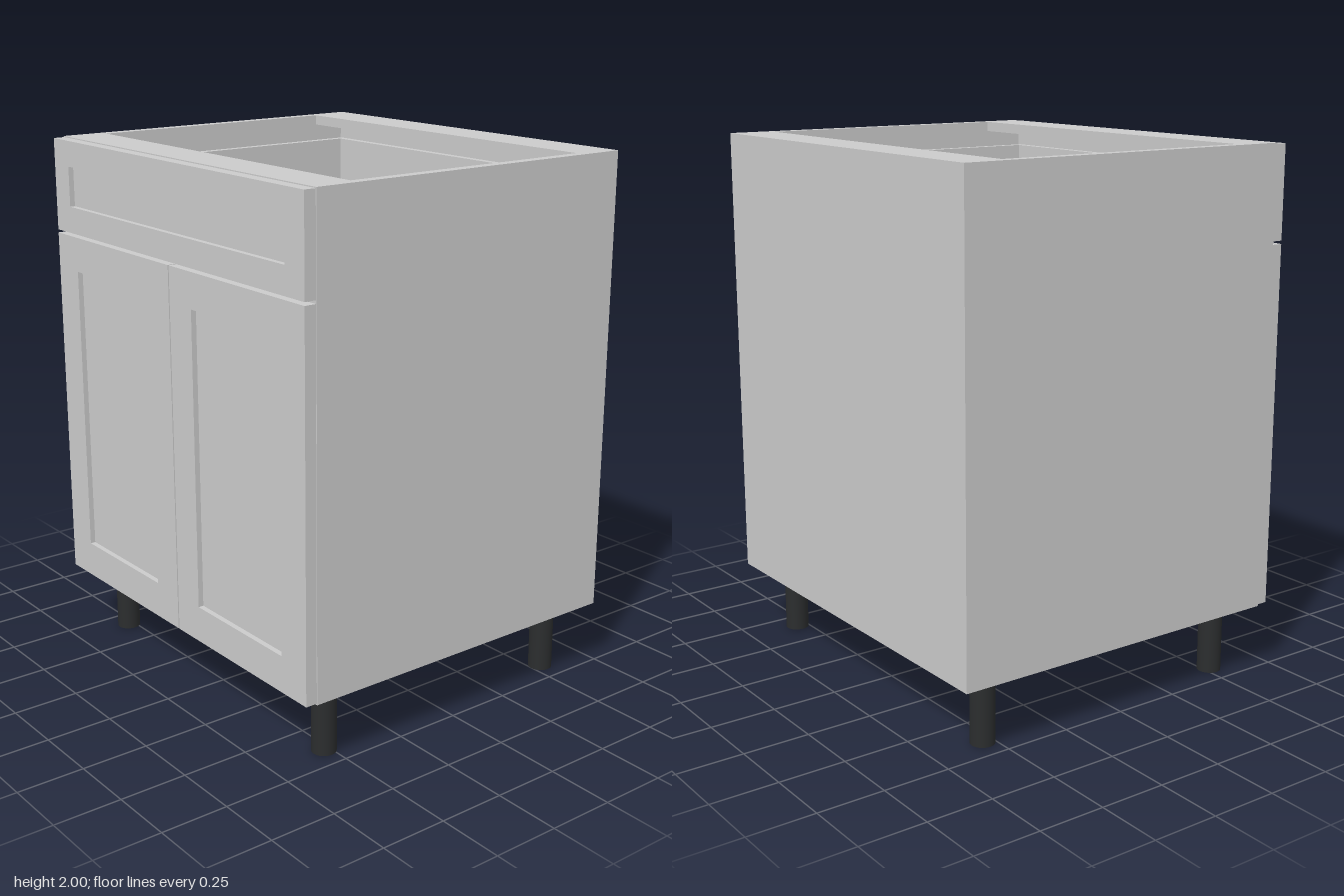
import * as THREE from 'three';

const grey = new THREE.MeshStandardMaterial({ color: 0xcccccc });
const dark = new THREE.MeshStandardMaterial({ color: 0x2b2d2e });

// Box given by its limits on each axis
function board(name, [x0, x1], [y0, y1], [z0, z1]) {
  const mesh = new THREE.Mesh(new THREE.BoxGeometry(x1 - x0, y1 - y0, z1 - z0), grey);
  mesh.position.set((x0 + x1) / 2, (y0 + y1) / 2, (z0 + z1) / 2);
  mesh.name = name;
  return mesh;
}

function rectangle(PathType, [x0, x1], [y0, y1]) {
  return new PathType([
    new THREE.Vector2(x0, y0), new THREE.Vector2(x1, y0),
    new THREE.Vector2(x1, y1), new THREE.Vector2(x0, y1),
  ]);
}

// Shaker front: a flat frame around a recessed panel
function shakerFront(name, xs, ys, innerXs, innerYs) {
  const group = new THREE.Group();
  group.name = name;
  const shape = rectangle(THREE.Shape, xs, ys);
  shape.holes.push(rectangle(THREE.Path, innerXs, innerYs));
  const frame = new THREE.Mesh(
    new THREE.ExtrudeGeometry(shape, { depth: FRONT - CARCASS_FRONT, bevelEnabled: false }), grey);
  frame.position.z = CARCASS_FRONT;
  frame.name = 'frame';
  group.add(frame, board('recessedPanel', innerXs, innerYs, [CARCASS_FRONT, FRONT - 0.02]));
  return group;
}

const BACK = -0.695, FRONT = 0.692, CARCASS_FRONT = 0.648;
const BOTTOM = 0.265, TOP = 2, OUTER = 0.78, INNER = 0.742;

export function createModel() {
  const model = new THREE.Group();
  model.name = 'baseCabinet';

  // Carcass
  const carcass = new THREE.Group();
  carcass.name = 'carcass';
  const span = [-INNER, INNER];
  carcass.add(
    board('leftSide', [INNER, OUTER], [BOTTOM, TOP], [BACK, CARCASS_FRONT]),
    board('rightSide', [-OUTER, -INNER], [BOTTOM, TOP], [BACK, CARCASS_FRONT]),
    board('bottomPanel', span, [BOTTOM, BOTTOM + 0.038], [BACK + 0.038, CARCASS_FRONT]),
    board('backPanel', span, [BOTTOM, TOP - 0.038], [BACK, BACK + 0.038]),
    board('backStretcher', span, [TOP - 0.038, TOP], [BACK, -0.525]),
    board('frontStretcher', span, [TOP - 0.038, TOP], [0.485, CARCASS_FRONT]),
  );
  model.add(carcass);

  // Drawer box
  const drawer = new THREE.Group();
  drawer.name = 'drawerBox';
  const wall = [1.68, 1.9];
  drawer.add(
    board('drawerLeftSide', [0.7, 0.728], wall, [-0.65, CARCASS_FRONT]),
    board('drawerRightSide', [-0.728, -0.7], wall, [-0.65, CARCASS_FRONT]),
    board('drawerBack', [-0.7, 0.7], wall, [-0.65, -0.622]),
    board('drawerInnerFront', [-0.7, 0.7], wall, [0.62, CARCASS_FRONT]),
    board('drawerBottom', [-0.7, 0.7], [1.68, 1.7], [-0.622, 0.62]),
  );
  model.add(drawer);

  // Drawer front and the pair of doors
  model.add(
    shakerFront('drawerFront', [-0.777, 0.777], [1.65, 1.996], [-0.675, 0.675], [1.75, 1.9]),
    shakerFront('leftDoor', [0.003, 0.777], [0.27, 1.638], [0.137, 0.64], [0.405, 1.507]),
    shakerFront('rightDoor', [-0.777, -0.003], [0.27, 1.638], [-0.64, -0.137], [0.405, 1.507]),
  );

  // Legs
  const legGeometry = new THREE.CylinderGeometry(0.045, 0.045, BOTTOM, 32);
  for (const x of [-0.655, 0.655]) {
    for (const z of [-0.543, 0.523]) {
      const leg = new THREE.Mesh(legGeometry, dark);
      leg.position.set(x, BOTTOM / 2, z);
      leg.name = z > 0 ? 'frontLeg' : 'backLeg';
      model.add(leg);
    }
  }
  return model;
}
